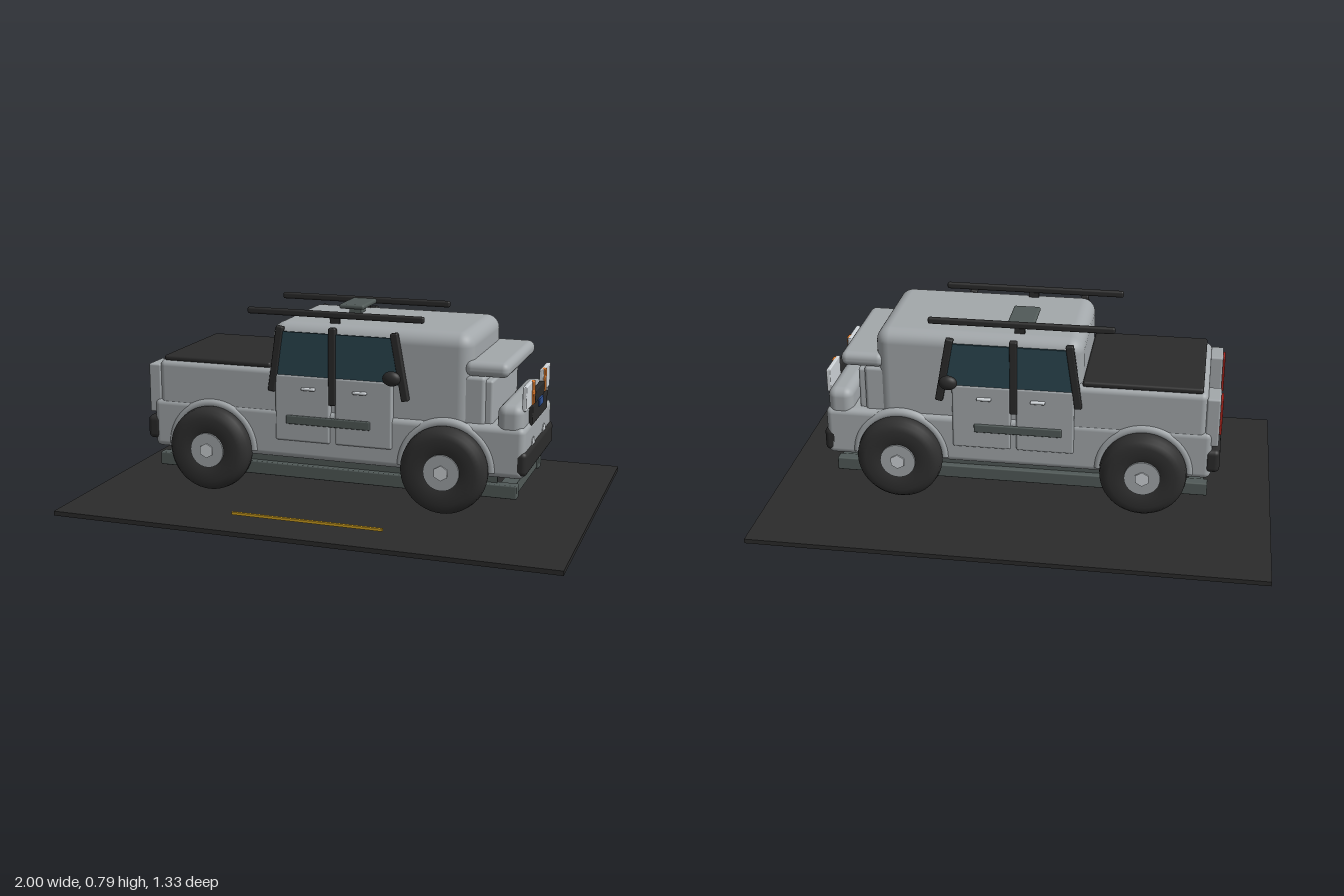
import * as THREE from 'three';
import { RoundedBoxGeometry } from 'three/addons/geometries/RoundedBoxGeometry.js';

const mat = (name, color) => {
  const m = new THREE.MeshStandardMaterial({ color });
  m.name = name;
  return m;
};

export function createModel() {
  const root = new THREE.Group();
  root.name = 'pickupTruck';
  const body = mat('bodyGrey', 0xa3a8ab);
  const black = mat('trimBlack', 0x2b2b2b);
  const rubber = mat('tyreBlack', 0x303030);
  const glass = mat('tintedGlass', 0x2a4650);
  const steel = mat('chassisGrey', 0x515a58);
  const light = mat('lampWhite', 0xcfd4d8);
  const orange = mat('indicatorOrange', 0xd9772a);
  const red = mat('tailRed', 0xa8231b);
  const blue = mat('badgeBlue', 0x2f5296);
  const yellow = mat('lineYellow', 0xcfa020);

  const add = (name, geometry, material, parent = root) => {
    const m = new THREE.Mesh(geometry, material);
    m.name = name;
    parent.add(m);
    return m;
  };
  // Box given by its limits on each axis; r rounds the edges
  const box = (name, material, [x0, x1], [y0, y1], [z0, z1], r = 0) => {
    const s = [x1 - x0, y1 - y0, z1 - z0];
    const g = r ? new RoundedBoxGeometry(...s, 4, r) : new THREE.BoxGeometry(...s);
    const m = add(name, g, material);
    m.position.set((x0 + x1) / 2, (y0 + y1) / 2, (z0 + z1) / 2);
    return m;
  };
  // The same box on both sides of the vehicle
  const pair = (name, material, x, y, [z0, z1], r) => {
    box(name + 'Left', material, x, y, [z0, z1], r);
    box(name + 'Right', material, x, y, [-z1, -z0], r);
  };

  // Ground plate and road line
  box('groundPlate', black, [-1, 1], [0, 0.018], [-0.665, 0.665]);
  box('roadLine', yellow, [-0.305, 0.3], [0.035, 0.045], [0.514, 0.526]);

  // Body shell
  box('lowerBody', body, [-0.755, 0.77], [0.2, 0.4], [-0.265, 0.265], 0.025);
  box('cargoBed', body, [-0.73, -0.2], [0.34, 0.56], [-0.26, 0.26], 0.025);
  box('bedCover', black, [-0.71, -0.25], [0.555, 0.578], [-0.25, 0.25], 0.01);
  box('cab', body, [-0.25, 0.56], [0.25, 0.74], [-0.25, 0.25], 0.055);
  box('cowl', body, [0.5, 0.61], [0.38, 0.58], [-0.24, 0.24], 0.015);
  box('cowlStep', body, [0.59, 0.637], [0.38, 0.565], [-0.225, 0.225], 0.01);
  box('frontVisor', body, [0.53, 0.70], [0.58, 0.638], [-0.25, 0.25], 0.026);
  box('noseBlock', body, [0.66, 0.76], [0.36, 0.482], [-0.26, 0.26], 0.035);

  // Bumpers with small front lamps
  box('frontBumper', black, [0.72, 0.78], [0.212, 0.308], [-0.265, 0.265], 0.02);
  box('rearBumper', black, [-0.787, -0.727], [0.23, 0.325], [-0.265, 0.265], 0.02);
  for (const z of [-0.105, 0.105]) {
    const fog = add('fogLamp', new THREE.CylinderGeometry(0.028, 0.028, 0.02, 24), light);
    fog.rotation.z = Math.PI / 2;
    fog.position.set(0.763, 0.304, z);
  }

  // Front lamps and grille
  pair('headlamp', light, [0.75, 0.766], [0.458, 0.552], [0.085, 0.232], 0.004);
  pair('indicator', orange, [0.755, 0.772], [0.46, 0.552], [0.096, 0.13], 0.004);
  box('grille', black, [0.752, 0.774], [0.385, 0.46], [-0.145, 0.145], 0.004);
  box('grilleUpper', black, [0.752, 0.772], [0.455, 0.508], [-0.088, 0.088], 0.004);
  box('badgePlate', blue, [0.77, 0.779], [0.434, 0.464], [-0.036, 0.036]);

  // Tail lamps
  pair('tailHousing', body, [-0.778, -0.725], [0.34, 0.54], [0.14, 0.255], 0.008);
  pair('tailLamp', red, [-0.787, -0.775], [0.38, 0.53], [0.165, 0.23], 0.004);

  // Doors, windows, pillars and side trim
  const quad = pts => new THREE.Shape(pts.map(p => new THREE.Vector2(...p)));
  const windowShape = quad([[-0.235, 0.53], [0.285, 0.53], [0.255, 0.71], [-0.2, 0.71]]);
  const windowGeo = new THREE.ExtrudeGeometry(windowShape, { depth: 0.009, bevelEnabled: false });
  pair('rearDoor', body, [-0.222, 0.004], [0.275, 0.54], [0.24, 0.273], 0.008);
  pair('frontDoor', body, [0.026, 0.256], [0.275, 0.54], [0.24, 0.273], 0.008);
  pair('sideMoulding', steel, [-0.175, 0.17], [0.345, 0.38], [0.268, 0.28], 0.005);
  pair('rearHandle', light, [-0.11, -0.053], [0.484, 0.496], [0.27, 0.286], 0.005);
  pair('frontHandle', light, [0.1, 0.157], [0.484, 0.496], [0.27, 0.286], 0.005);
  pair('mirrorArm', black, [0.27, 0.285], [0.55, 0.565], [0.25, 0.3]);
  for (const s of [-1, 1]) {
    add('sideWindows', windowGeo, glass).position.z = s > 0 ? 0.26 : -0.269;
    for (const [x0, y0, x1, y1] of [[0.308, 0.47, 0.26, 0.73], [0.014, 0.43, 0.014, 0.735], [-0.238, 0.47, -0.2, 0.73]]) {
      const len = Math.hypot(x1 - x0, y1 - y0);
      const p = add('pillar', new RoundedBoxGeometry(0.03, len, 0.026, 3, 0.006), black);
      p.position.set((x0 + x1) / 2, (y0 + y1) / 2, s * 0.262);
      p.rotation.z = -Math.atan2(x1 - x0, y1 - y0);
    }
    const mirror = add('mirror', new THREE.SphereGeometry(1, 24, 16), black);
    mirror.scale.set(0.036, 0.029, 0.021);
    mirror.position.set(0.263, 0.562, s * 0.3);
  }

  // Roof rails and roof box
  pair('roofRail', black, [-0.365, 0.358], [0.759, 0.785], [0.181, 0.201], 0.008);
  pair('railFoot', black, [-0.02, 0.02], [0.735, 0.765], [0.185, 0.197]);
  box('roofBox', steel, [-0.055, 0.05], [0.761, 0.78], [-0.185, -0.008], 0.008);
  box('roofBoxFoot', steel, [-0.025, 0.025], [0.735, 0.765], [-0.105, -0.05]);

  // Ladder chassis and underbody
  pair('chassisRail', steel, [-0.745, 0.74], [0.115, 0.168], [0.195, 0.24], 0.005);
  for (const x of [-0.7, -0.3, 0.05, 0.3, 0.7])
    box('crossMember', steel, [x - 0.03, x + 0.03], [0.12, 0.165], [-0.2, 0.2]);
  pair('bodyMount', steel, [-0.66, 0.66], [0.165, 0.205], [0.2, 0.215]);
  box('transferCase', blue, [-0.08, 0.1], [0.175, 0.2], [-0.06, 0.06]);
  const muffler = add('muffler', new THREE.CylinderGeometry(0.036, 0.036, 0.11, 24), body);
  muffler.rotation.z = Math.PI / 2;
  muffler.position.set(-0.335, 0.12, 0.105);
  const pipe = new THREE.CatmullRomCurve3([[-0.3, 0.115], [-0.16, 0.12], [-0.04, 0.14], [0.15, 0.17]]
    .map(([x, y]) => new THREE.Vector3(x, y, 0.105)));
  add('exhaustPipe', new THREE.TubeGeometry(pipe, 24, 0.012, 12), steel);

  // Wheels, axles and arches
  const lathe = pts => new THREE.LatheGeometry(pts.map(p => new THREE.Vector2(...p)), 48).rotateX(Math.PI / 2);
  const tyreGeo = lathe([[0.06, -0.04], [0.09, -0.05], [0.13, -0.05], [0.153, -0.044], [0.166, -0.028],
    [0.17, 0], [0.166, 0.028], [0.153, 0.044], [0.13, 0.05], [0.09, 0.05], [0.06, 0.04]]);
  const rimGeo = new THREE.CylinderGeometry(0.07, 0.07, 0.102, 32).rotateX(Math.PI / 2);
  const hubGeo = new THREE.CylinderGeometry(0.03, 0.03, 0.114, 6).rotateX(Math.PI / 2);
  const archGeo = new THREE.TorusGeometry(0.177, 0.02, 12, 40, Math.PI);
  for (const x of [-0.495, 0.468]) {
    const axle = add('axle', new THREE.CylinderGeometry(0.02, 0.02, 0.5, 16), steel);
    axle.rotation.x = Math.PI / 2;
    axle.position.set(x, 0.22, 0);
    for (const s of [-1, 1]) {
      const wheel = new THREE.Group();
      wheel.name = 'wheel';
      wheel.position.set(x, 0.22, s * 0.279);
      add('tyre', tyreGeo, rubber, wheel);
      add('rim', rimGeo, body, wheel);
      add('hub', hubGeo, light, wheel);
      root.add(wheel);
      add('wheelArch', archGeo, body).position.set(x, 0.22, s * 0.252);
    }
  }
  return root;
}
